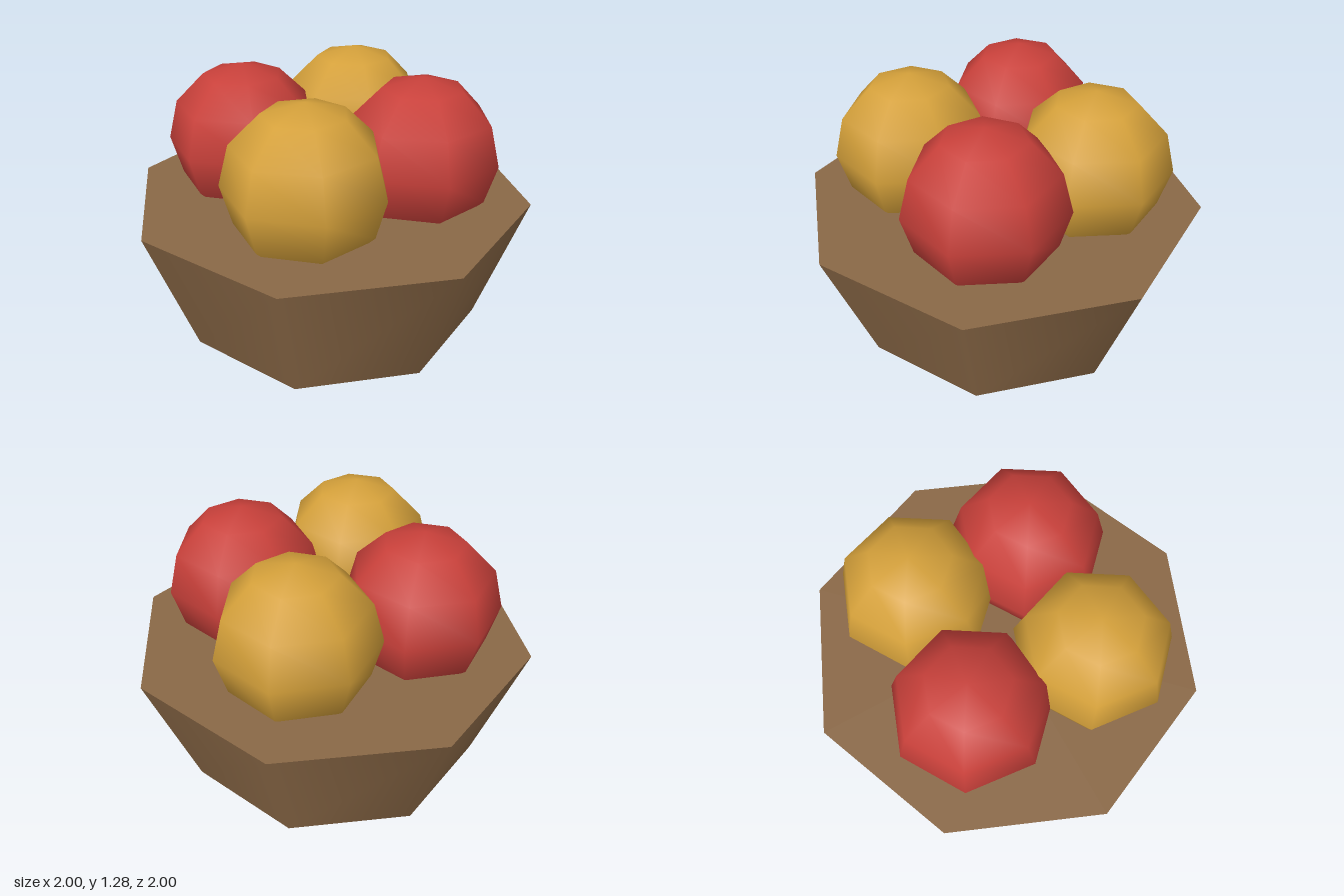
import * as THREE from 'three';

export function createModel() {
  const group = new THREE.Group();
  const material = (name, color) => {
    const m = new THREE.MeshStandardMaterial({ color });
    m.name = name;
    return m;
  };
  const wood = material('brown wood', 0x8a6846);
  const red = material('red fruit', 0xc8403a);
  const yellow = material('yellow fruit', 0xd4a03a);

  // Eight-sided tapered basket with a closed top
  const height = 0.667;
  const basket = new THREE.Mesh(new THREE.CylinderGeometry(1, 0.778, height, 8), wood);
  basket.name = 'basket';
  basket.position.y = height / 2;
  group.add(basket);

  // Four low-poly fruits half sunk around the centre, one corner towards the back
  const fruitGeometry = new THREE.SphereGeometry(0.389, 7, 6).rotateY(-Math.PI / 2);
  const fruits = [
    ['leftFruit', red, 0.444, 0],
    ['frontFruit', yellow, -0.014, 0.444],
    ['rightFruit', red, -0.444, -0.026],
    ['backFruit', yellow, 0.036, -0.444],
  ];
  for (const [name, mat, x, z] of fruits) {
    const fruit = new THREE.Mesh(fruitGeometry, mat);
    fruit.name = name;
    fruit.position.set(x, 0.889, z);
    group.add(fruit);
  }
  return group;
}
